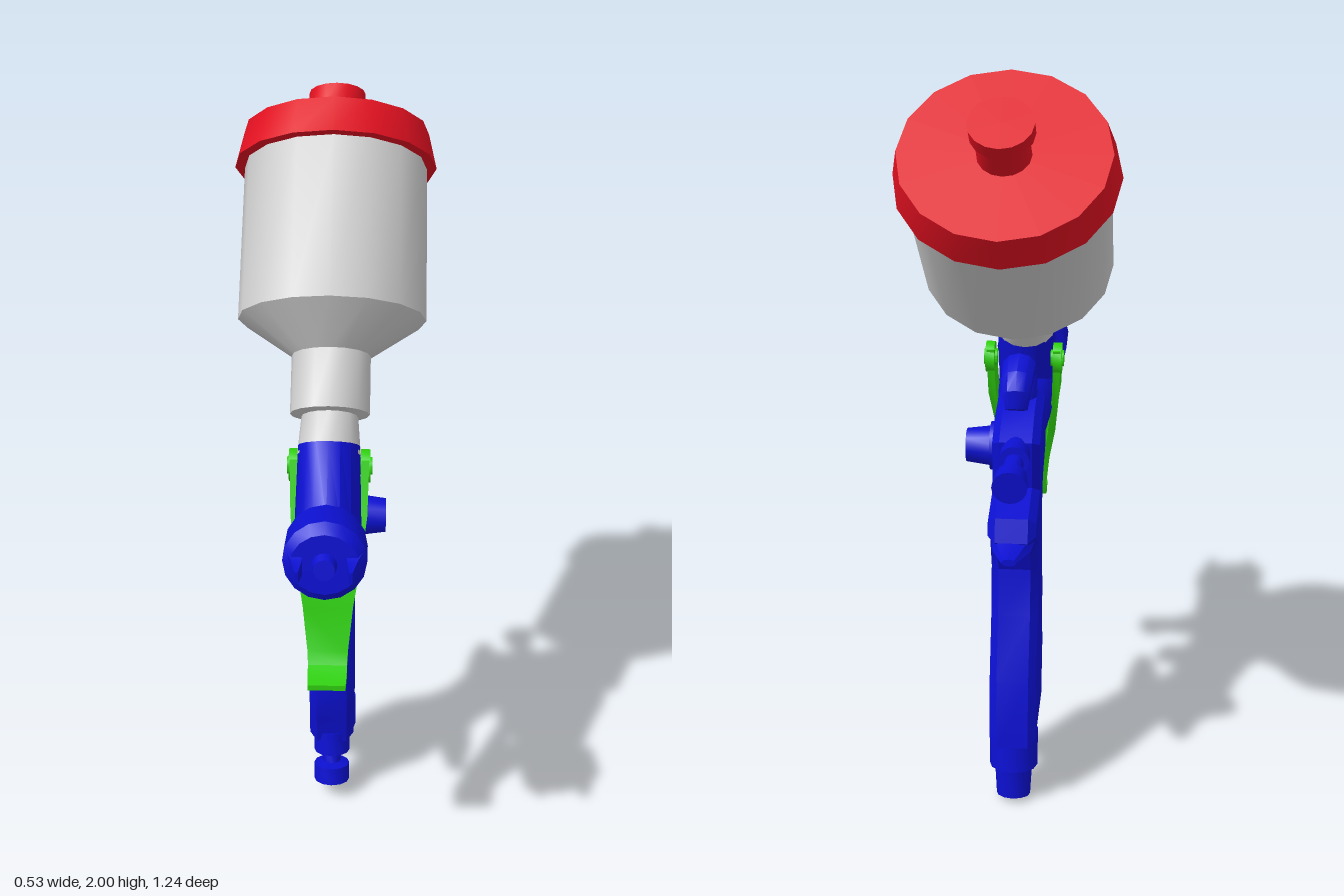
import * as THREE from 'three';
import { toCreasedNormals } from 'three/addons/utils/BufferGeometryUtils.js';

const paint = (color) => new THREE.MeshStandardMaterial({ color });
const BLUE = paint(0x0c10d0), RED = paint(0xe01020), GREEN = paint(0x30d010), GREY = paint(0xcccccc);

// Loft through rings [z1, y1, z2, y2, halfWidth?]: each ring spans two points of the side
// profile; a missing half width makes it round. Four sides give a rectangular section.
function loft(rings, sides = 16, xc = []) {
  const sq = sides === 4, k = sq ? Math.SQRT2 : 1;
  const pts = rings.map(([z1, y1, z2, y2, w = Math.hypot(z1 - z2, y1 - y2) / 2], r) =>
    Array.from({ length: sides }, (_, i) => {
      const a = (i + (sq ? 0.5 : 0)) / sides * Math.PI * 2;
      const s = Math.cos(a) * k / 2;
      return new THREE.Vector3((xc[r] ?? 0) + Math.sin(a) * k * w,
        (y1 + y2) / 2 + s * (y1 - y2), (z1 + z2) / 2 + s * (z1 - z2));
    }));
  const mid = (r) => new THREE.Vector3(xc[r] ?? 0, (rings[r][1] + rings[r][3]) / 2, (rings[r][0] + rings[r][2]) / 2);
  const last = rings.length - 1, c0 = mid(0), c1 = mid(last), tris = [];
  for (let i = 0; i < sides; i++) {
    const j = (i + 1) % sides;
    for (let r = 0; r < last; r++) {
      const a = pts[r][i], b = pts[r][j], c = pts[r + 1][j], d = pts[r + 1][i];
      tris.push([a, b, c], [a, c, d]);
    }
    tris.push([c0, pts[0][j], pts[0][i]], [c1, pts[last][i], pts[last][j]]);
  }
  // Turn the faces outward whichever way the rings run
  let volume = 0;
  for (const [a, b, c] of tris) volume += a.clone().sub(c0).dot(b.clone().sub(c0).cross(c.clone().sub(c0)));
  if (volume < 0) tris.forEach((t) => t.reverse());
  const geo = new THREE.BufferGeometry().setFromPoints(tris.flat());
  return toCreasedNormals(geo, 0.6);
}

export function createModel() {
  const model = new THREE.Group();
  const add = (name, geo, mat) => {
    const mesh = new THREE.Mesh(geo, mat);
    mesh.name = name;
    model.add(mesh);
    return mesh;
  };
  const crossCylinder = (name, r0, r1, x0, x1, y, z, mat) =>
    add(name, toCreasedNormals(new THREE.CylinderGeometry(r1, r0, x1 - x0, 16).rotateZ(-Math.PI / 2), 0.6), mat)
      .position.set((x0 + x1) / 2, y, z);

  // Paint cup, leaning back
  add('cup', loft([
    [.29, 1.27, .16, 1.18], [.21, 1.34, .10, 1.25], [.23, 1.36, .07, 1.24], [.12, 1.47, -.04, 1.35],
    [.16, 1.62, -.22, 1.34, .24], [-.17, 1.93, -.56, 1.64, .24]]), GREY);
  add('lid', loft([[-.14, 1.94, -.56, 1.62, .265], [-.23, 2, -.62, 1.70, .245]]), RED);
  add('lidKnob', loft([
    [-.36, 1.87, -.46, 1.79], [-.43, 1.93, -.53, 1.86],
    [-.41, 1.95, -.54, 1.86, .075], [-.45, 1.98, -.57, 1.89, .075]]), RED);

  // Gun head
  add('barrel', loft([
    [.42, 1.16, .45, 1, .085], [.19, 1.10, .22, .94, .08], [-.03, 1.06, -.01, .90, .055]]), BLUE);
  add('cupSocket', loft([[.28, 1.29, .15, 1.20, .077], [.43, 1.16, .19, .98, .083]]), BLUE);
  add('airCap', loft([
    [.42, 1.19, .46, .99, .1], [.52, 1.20, .56, 1.01, .1], [.55, 1.18, .57, 1.03, .082]]), BLUE);
  add('nozzle', loft([[.53, 1.14, .54, 1.07], [.58, 1.13, .59, 1.08]]), BLUE);
  for (const s of [-1, 1])
    add('airHorn', loft([[.54, 1.13, .54, 1.07, .02], [.57, 1.12, .57, 1.08, .012], [.62, 1.12, .62, 1.09, .004]],
      4, [s * .07, s * .065, s * .063]), BLUE);
  add('hangingHook', loft([
    [.09, 1.07, .01, 1.06, .045], [.06, 1.20, .02, 1.14, .045], [-.01, 1.23, -.02, 1.16, .045],
    [-.09, 1.21, -.06, 1.15, .042], [-.13, 1.17, -.08, 1.13, .038], [-.13, 1.12, -.09, 1.10, .03]], 10), BLUE);

  // Handle: side outline with chamfered edges
  const outline = [
    [.10, 1.10], [-.04, 1.08], [-.14, 1.03], [-.13, .90], [-.26, .87], [-.28, .81], [-.20, .76],
    [-.17, .68], [-.19, .55], [-.25, .38], [-.27, .19], [.01, .19], [.02, .27], [.04, .36],
    [.02, .47], [.03, .56], [0, .62], [0, .84], [.03, .87], [.13, .92]];
  const bevel = .02, width = .125;
  const handle = new THREE.ExtrudeGeometry(new THREE.Shape(outline.map((p) => new THREE.Vector2(...p))), {
    depth: width - 2 * bevel, bevelThickness: bevel, bevelSize: bevel, bevelOffset: -bevel, bevelSegments: 1 });
  handle.translate(0, 0, bevel - width / 2).rotateY(-Math.PI / 2);
  add('handle', toCreasedNormals(handle, 0.5), BLUE);
  add('fingerRest', loft([[-.02, .63, -.02, .54, .055], [.03, .615, .03, .565, .055], [.12, .61, .12, .58, .045],
    [.22, .605, .22, .59, .02]], 8), BLUE);
  add('handSpur', loft([[-.19, .84, -.19, .74, .06], [-.28, .81, -.26, .76, .05], [-.35, .80, -.35, .78, .02]], 8), BLUE);

  // Adjusting knobs
  add('rearKnob', loft([
    [-.10, 1.04, -.10, .97], [-.16, 1.04, -.16, .96], [-.19, 1.04, -.19, .96], [-.19, 1.02, -.19, .97],
    [-.27, 1.015, -.26, .96], [-.27, 1.03, -.26, .95], [-.33, 1.03, -.32, .94]]), BLUE);
  crossCylinder('sideKnobBase', .07, .065, .03, .08, .95, .03, BLUE);
  crossCylinder('sideKnob', .055, .045, .07, .145, .95, .03, BLUE);
  add('valveNut', loft([[.05, .91, .05, .85], [.10, .91, .10, .86], [.10, .92, .10, .85], [.13, .92, .14, .86],
    [.13, .91, .14, .87], [.17, .92, .18, .87]], 12), BLUE);
  add('valvePin', loft([[.16, .90, .16, .89], [.28, .915, .28, .905]], 8), BLUE);

  // Fittings under the handle
  add('pressureScrew', loft([
    [.02, .22, -.08, .20], [.03, .15, -.07, .13], [0, .14, -.05, .13], [.01, .11, -.04, .10],
    [.04, .11, -.06, .09], [.05, .06, -.05, .04]], 12), BLUE);
  add('airInlet', loft([
    [-.13, .20, -.26, .22], [-.14, .09, -.27, .11], [-.16, .09, -.26, .11], [-.17, 0, -.26, .02]], 12), BLUE);

  // Trigger: curved plate hung on two arms
  add('triggerPlate', loft([
    [.29, .95, .27, .94, .075], [.32, .84, .30, .83, .062], [.34, .72, .32, .71, .052],
    [.36, .69, .34, .67, .05], [.39, .68, .38, .66, .05], [.43, .675, .43, .66, .048]], 4), GREEN);
  for (const s of [-1, 1]) {
    add('triggerArm', loft([
      [.19, 1.19, .12, 1.19, .01], [.24, 1.06, .14, 1.06, .01], [.29, .95, .22, .92, .01],
      [.32, .84, .26, .82, .008], [.34, .72, .30, .71, .006]],
    4, [.09, .087, .072, .056, .046].map((x) => x * s)), GREEN);
    crossCylinder('triggerPivot', .042, .042, s * .091 - .012, s * .091 + .012, 1.16, .155, GREEN);
    crossCylinder('pivotScrew', .022, .022, s * .09 - .018, s * .09 + .018, 1.16, .155, GREEN);
  }
  return model;
}
